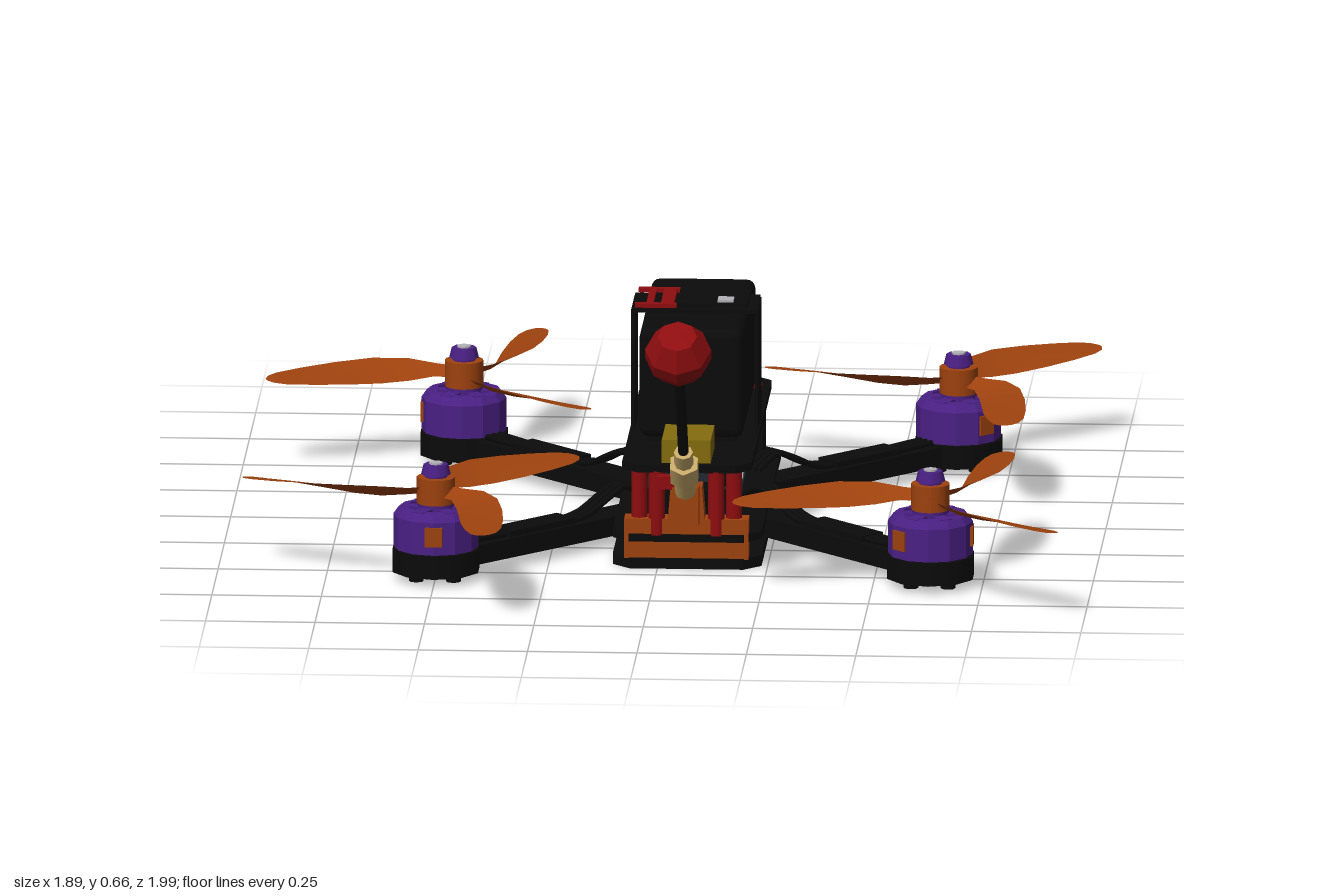
import * as THREE from 'three';
import { RoundedBoxGeometry } from 'three/addons/geometries/RoundedBoxGeometry.js';

const material = (name, color, extra = {}) => {
  const m = new THREE.MeshStandardMaterial({ color, ...extra });
  m.name = name;
  return m;
};

export function createModel() {
  const black = material('carbon black', 0x0b0b0b);
  const dark = material('circuit slate', 0x1c222c);
  const orange = material('burnt orange', 0x9e420e, { side: THREE.DoubleSide });
  const purple = material('anodised purple', 0x4a2084);
  const red = material('deep red', 0x8e0d10);
  const gold = material('gold', 0x846c0e);
  const brass = material('brass', 0xc4a868);
  const silver = material('silver', 0xb4b4b8);

  const model = new THREE.Group();
  model.name = 'racingQuadcopter';
  const body = new THREE.Group();
  body.name = 'body';
  body.position.x = 0.066;
  model.add(body);

  const add = (parent, name, geo, mat, x = 0, y = 0, z = 0) => {
    const m = new THREE.Mesh(geo, mat);
    m.name = name;
    m.position.set(x, y, z);
    parent.add(m);
    return m;
  };
  const box = (parent, name, mat, w, h, d, x, y, z) =>
    add(parent, name, new THREE.BoxGeometry(w, h, d), mat, x, y, z);
  const cyl = (parent, name, mat, r, y0, y1, x = 0, z = 0, sides = 12, rTop = r) =>
    add(parent, name, new THREE.CylinderGeometry(rTop, r, y1 - y0, sides), mat, x, (y0 + y1) / 2, z);
  const tube = (parent, name, mat, r, pts) => add(parent, name, new THREE.TubeGeometry(
    new THREE.CatmullRomCurve3(pts.map(p => new THREE.Vector3(...p))), 20, r, 6), mat);
  const faceted = geo => {
    const g = geo.toNonIndexed();
    g.computeVertexNormals();
    return g;
  };

  // Horizontal plate with chamfered corners
  const plate = (name, mat, hw, z0, z1, c, y, h) => {
    const s = new THREE.Shape([[-hw, z0 + c], [-hw + c, z0], [hw - c, z0], [hw, z0 + c],
      [hw, z1 - c], [hw - c, z1], [-hw + c, z1], [-hw, z1 - c]]
      .map(([x, z]) => new THREE.Vector2(x, -z)));
    const g = new THREE.ExtrudeGeometry(s, { depth: h, bevelEnabled: false });
    g.rotateX(-Math.PI / 2);
    return add(body, name, g, mat, 0, y, 0);
  };
  plate('bottomPlate', black, 0.17, -0.42, 0.44, 0.04, 0.012, 0.025);
  plate('middlePlate', black, 0.17, -0.42, 0.44, 0.04, 0.075, 0.018);
  plate('topPlate', black, 0.148, -0.42, 0.442, 0.035, 0.238, 0.018);
  for (const s of [-1, 1]) box(body, 'frameSpacer', black, 0.24, 0.04, 0.26, 0, 0.056, s * 0.26);

  // Propeller blade: a twisted, slightly cambered sheet along a swept path
  const bladeGeometry = dir => {
    const rows = [[0.02, -40, 0.035, 35], [0.07, -42, 0.04, 35], [0.13, -50, 0.075, 30],
      [0.2, -58, 0.097, 24], [0.28, -65, 0.1, 18], [0.36, -69, 0.09, 13],
      [0.42, -71, 0.07, 10], [0.445, -71.7, 0.045, 8], [0.456, -72, 0.012, 8]];
    const at = ([r, a]) => new THREE.Vector2(r * Math.cos(a * Math.PI / 180), r * Math.sin(a * Math.PI / 180));
    const pos = [], index = [];
    rows.forEach((row, i) => {
      const p = at(row);
      const t = at(rows[Math.min(i + 1, rows.length - 1)]).sub(at(rows[Math.max(i - 1, 0)])).normalize();
      const tw = row[3] * Math.PI / 180, c = row[2] / 2;
      const lead = [-t.y * Math.cos(tw) * c, Math.sin(tw) * c, t.x * Math.cos(tw) * c];
      for (const [k, h] of [[1, 0], [0, 0.04 * row[2]], [-1, 0]])
        pos.push(p.x + lead[0] * k, lead[1] * k + h, dir * (p.y + lead[2] * k));
      if (i) for (let j = 0; j < 2; j++) {
        const a = (i - 1) * 3 + j;
        index.push(a, a + 1, a + 3, a + 1, a + 4, a + 3);
      }
    });
    const g = new THREE.BufferGeometry();
    g.setAttribute('position', new THREE.Float32BufferAttribute(pos, 3));
    g.setIndex(index);
    g.computeVertexNormals();
    return g;
  };

  // Arms, motors and propellers
  for (const sx of [-1, 1]) for (const sz of [-1, 1]) {
    const heading = Math.atan2(sz, sx);
    const arm = new THREE.Group();
    arm.name = 'armAssembly';
    arm.rotation.y = -heading;
    body.add(arm);
    box(arm, 'arm', black, 0.66, 0.045, 0.085, 0.455, 0.06, 0);
    box(arm, 'speedController', black, 0.2, 0.016, 0.065, 0.5, 0.088, 0);
    for (const w of [-0.018, 0, 0.018]) tube(arm, 'motorWire', black, 0.007,
      [[0.17, 0.11, w], [0.23, 0.142, w], [0.29, 0.12, w], [0.36, 0.09, w], [0.7, 0.09, w]]);

    const motor = new THREE.Group();
    motor.name = 'motor';
    motor.position.set(sx * 0.565, 0, sz * 0.561 - 0.004);
    body.add(motor);
    cyl(motor, 'motorMount', black, 0.103, 0.032, 0.085, 0, 0, 10);
    cyl(motor, 'statorCore', black, 0.076, 0.085, 0.155);
    for (let i = 0; i < 9; i++) {
      const a = i * Math.PI * 2 / 9;
      box(motor, 'statorCoil', orange, 0.035, 0.07, 0.024,
        0.058 * Math.cos(a), 0.126, -0.058 * Math.sin(a)).rotation.y = a;
    }
    for (let i = 0; i < 4; i++) {
      const a = (i + 0.5) * Math.PI / 2;
      cyl(motor, 'mountScrew', black, 0.017, 0.015, 0.034, 0.06 * Math.cos(a), 0.06 * Math.sin(a), 8);
    }
    // Bell wall with a sloping spoked cap
    const wall = [[0.084, 0.087], [0.097, 0.087], [0.097, 0.163], [0.085, 0.18], [0.066, 0.182],
      [0.066, 0.172], [0.084, 0.158], [0.084, 0.087]].map(p => new THREE.Vector2(...p));
    add(motor, 'motorBell', faceted(new THREE.LatheGeometry(wall, 12)), purple);
    cyl(motor, 'bellHub', purple, 0.042, 0.16, 0.19);
    for (let i = 0; i < 6; i++) {
      const a = i * Math.PI / 3;
      box(motor, 'bellSpoke', purple, 0.05, 0.014, 0.03,
        0.055 * Math.cos(a), 0.175, -0.055 * Math.sin(a)).rotation.y = a;
    }
    // Small copper patches on the bell side
    for (const turn of [-Math.PI / 4, Math.PI / 2]) {
      const a = heading + turn;
      box(motor, 'bellPatch', orange, 0.008, 0.045, 0.04,
        0.0945 * Math.cos(a), 0.13, 0.0945 * Math.sin(a)).rotation.y = -a;
    }
    const prop = new THREE.Group();
    prop.name = 'propeller';
    prop.position.y = 0.22;
    motor.add(prop);
    cyl(prop, 'propellerHub', orange, 0.044, -0.03, 0.03, 0, 0, 16);
    const blade = bladeGeometry(sx * sz);
    for (let i = 0; i < 3; i++) add(prop, 'blade', blade, orange).rotation.y = i * Math.PI * 2 / 3;
    cyl(prop, 'flangeNut', purple, 0.026, 0.028, 0.04, 0, 0, 12);
    cyl(prop, 'lockNut', purple, 0.034, 0.036, 0.06, 0, 0, 8, 0.028);
    cyl(prop, 'motorShaft', silver, 0.016, 0.05, 0.064, 0, 0, 8);
  }

  // Standoffs
  for (const s of [-1, 1]) for (const [x, z] of [[0.1, -0.235], [0.108, 0.41], [0.068, 0.425]])
    cyl(body, 'standoff', red, 0.019, 0.09, 0.24, s * x, z, 10);

  // Flight electronics
  box(body, 'powerBoard', dark, 0.22, 0.012, 0.22, 0, 0.125, 0);
  box(body, 'flightBoard', dark, 0.19, 0.012, 0.19, 0, 0.175, 0);
  for (const sx of [-1, 1]) for (const sz of [-1, 1]) {
    cyl(body, 'stackPost', black, 0.012, 0.09, 0.225, sx * 0.08, sz * 0.1, 8);
    cyl(body, 'stackNut', silver, 0.015, 0.181, 0.193, sx * 0.08, sz * 0.1, 6);
    box(body, 'boardChip', silver, 0.025, 0.01, 0.025, sx * 0.095, 0.136, sz * 0.04);
    box(body, 'boardConnector', black, 0.025, 0.03, 0.05, sx * 0.085, 0.195, sz * 0.045);
  }
  box(body, 'processor', black, 0.06, 0.012, 0.06, 0, 0.187, 0);
  box(body, 'usbSocket', silver, 0.022, 0.03, 0.04, 0.09, 0.196, 0.005);
  box(body, 'receiver', black, 0.14, 0.06, 0.09, 0, 0.122, 0.22);
  for (const s of [-1, 1]) tube(body, 'signalCable', black, 0.008,
    [[s * 0.06, 0.14, 0.08], [s * 0.08, 0.16, 0.2], [s * 0.05, 0.205, 0.42]]);

  // Battery, pad and strap
  box(body, 'batteryPad', black, 0.2, 0.016, 0.46, 0, 0.263, -0.015);
  for (const z of [0.115, -0.145])
    add(body, 'batteryCells', new RoundedBoxGeometry(0.238, 0.255, 0.256, 2, 0.022), black, 0, 0.397, z);
  box(body, 'strapTop', black, 0.286, 0.01, 0.15, 0, 0.538, 0.04);
  for (const s of [-1, 1]) box(body, 'strapSide', black, 0.008, 0.29, 0.15, s * 0.141, 0.392, 0.04);
  box(body, 'strapBottom', black, 0.286, 0.008, 0.15, 0, 0.25, 0.04);
  box(body, 'strapEnd', black, 0.16, 0.012, 0.13, 0.04, 0.548, 0.04);
  for (const [w, d, x, z] of [[0.095, 0.018, -0.088, -0.036], [0.095, 0.018, -0.088, 0.112],
    [0.03, 0.15, -0.062, 0.038], [0.016, 0.15, -0.102, 0.038]])
    box(body, 'strapBuckle', red, w, 0.009, d, x, 0.5505, z);
  box(body, 'strapTag', silver, 0.036, 0.006, 0.036, 0.07, 0.557, 0.075);

  // Rear camera and its cage
  for (const s of [-1, 1]) box(body, 'cameraSidePlate', black, 0.016, 0.16, 0.12, s * 0.125, 0.168, -0.36);
  box(body, 'cameraCase', black, 0.235, 0.15, 0.11, 0, 0.168, -0.365);
  for (const [name, r0, r1, z, d] of [['lensMount', 0.07, 0.058, -0.44, 0.05], ['lensBarrel', 0.052, 0.042, -0.485, 0.05]])
    add(body, name, new THREE.CylinderGeometry(r0, r1, d, 16), black, 0, 0.175, z).rotation.x = Math.PI / 2;
  add(body, 'lensGlass', new THREE.CylinderGeometry(0.03, 0.03, 0.006, 16), dark, 0, 0.175, -0.511).rotation.x = Math.PI / 2;
  box(body, 'redTopStripe', red, 0.19, 0.008, 0.026, 0.035, 0.26, -0.315);
  box(body, 'redTopStripe', red, 0.07, 0.008, 0.022, -0.025, 0.26, -0.291);

  // Front bumper and antenna bracket
  const bumper = new THREE.Shape([[-0.142, 0.035], [0.142, 0.035], [0.142, 0.128], [0.042, 0.128],
    [0.036, 0.205], [-0.036, 0.205], [-0.042, 0.128], [-0.142, 0.128]].map(p => new THREE.Vector2(...p)));
  add(body, 'frontBumper', new THREE.ExtrudeGeometry(bumper, { depth: 0.05, bevelEnabled: false }), orange, 0, 0, 0.388);
  box(body, 'antennaBracket', orange, 0.06, 0.09, 0.04, 0, 0.165, 0.455);
  box(body, 'videoTransmitter', gold, 0.112, 0.054, 0.152, 0, 0.287, 0.363);
  box(body, 'transmitterTape', red, 0.04, 0.03, 0.03, -0.045, 0.22, 0.455);

  // Leaning antenna with faceted tip
  const antenna = new THREE.Group();
  antenna.name = 'antenna';
  antenna.position.set(0, 0.2, 0.47);
  antenna.rotation.x = Math.atan2(0.285, 0.395);
  body.add(antenna);
  cyl(antenna, 'connectorBase', brass, 0.024, 0, 0.06, 0, 0, 8);
  cyl(antenna, 'connectorNut', brass, 0.036, 0.05, 0.1, 0, 0, 6);
  cyl(antenna, 'connectorSleeve', brass, 0.022, 0.1, 0.14, 0, 0, 8);
  cyl(antenna, 'antennaStem', black, 0.012, 0.13, 0.45, 0, 0, 8);
  const profile = [[0, -0.062], [0.048, -0.058], [0.076, -0.015], [0.076, 0.015], [0.045, 0.062], [0, 0.065]];
  add(antenna, 'antennaTip', faceted(new THREE.LatheGeometry(
    profile.map(p => new THREE.Vector2(...p)), 8)), red, 0, 0.485, 0);

  return model;
}
